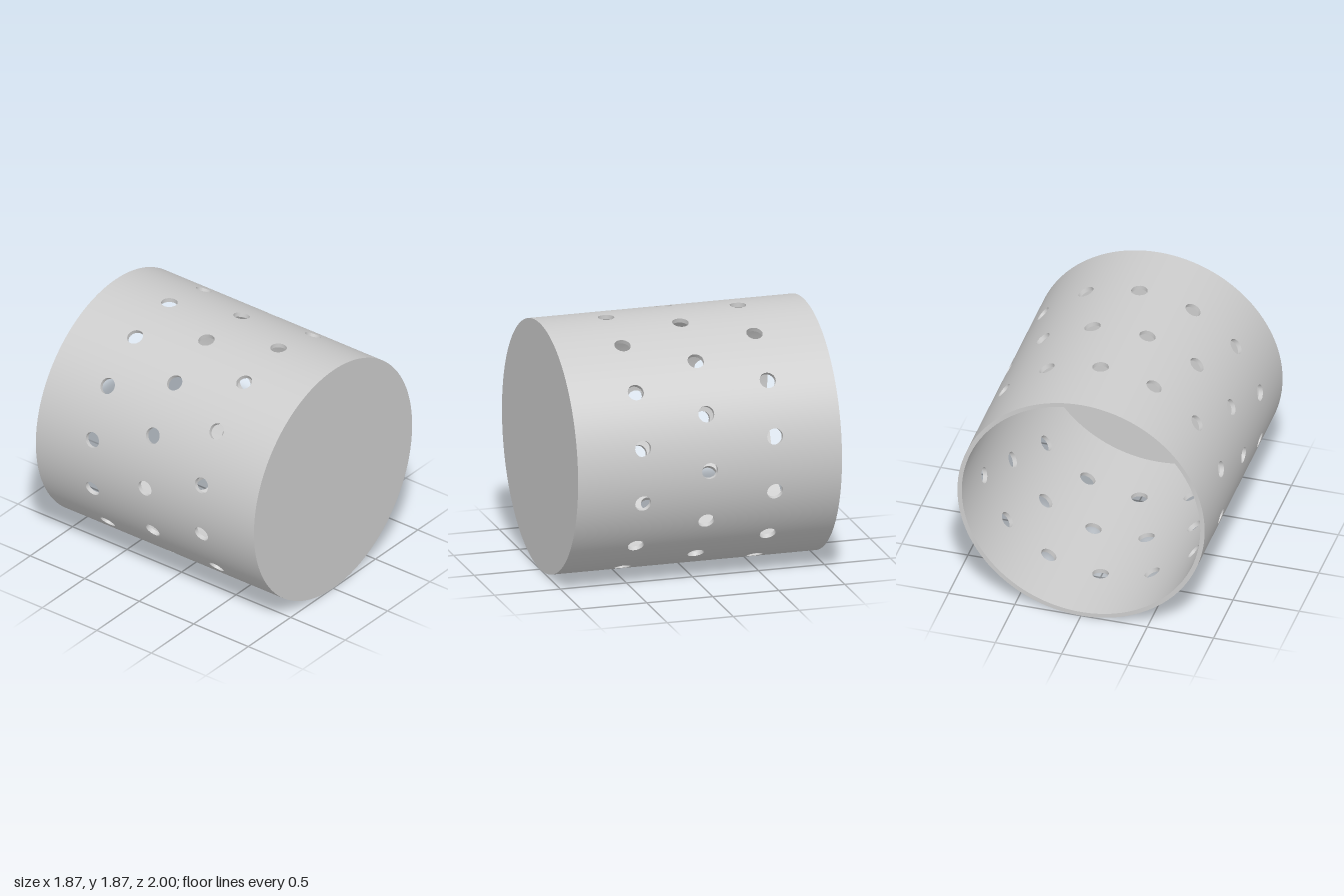
import * as THREE from 'three';
import { mergeGeometries } from 'three/addons/utils/BufferGeometryUtils.js';

const OUTER = 0.933, INNER = 0.9, FLOOR = 0.967, HOLE = 0.06;
const COUNT = 14;              // holes per ring
const HALF = Math.PI / COUNT;  // half the angle one hole cell spans
const EDGE = 8;                // segments along each cell edge
const SIDES = COUNT * EDGE, LOOP = EDGE * 4, RINGS = 4;

// Grid of quads round a loop; f(i, j) gives a point
function loopGrid(f, rows, flip) {
  const pos = [], index = [], w = LOOP + 1;
  for (let j = 0; j <= rows; j++) for (let i = 0; i <= LOOP; i++) pos.push(...f(i, j));
  for (let j = 0; j < rows; j++) for (let i = 0; i < LOOP; i++) {
    const p = j * w + i, q = p + 1, s = p + w, t = s + 1;
    index.push(...(flip ? [p, s, q, q, s, t] : [p, q, s, q, t, s]));
  }
  const g = new THREE.BufferGeometry();
  g.setAttribute('position', new THREE.Float32BufferAttribute(pos, 3));
  g.setIndex(index);
  g.computeVertexNormals();
  return g;
}

const onTube = (r, a, z) => [r * Math.sin(a), r * Math.cos(a), z];

// Point on the hole's edge as [angle round the tube, z]
function holeEdge(r, i) {
  const t = -Math.PI / 4 + (i / LOOP) * Math.PI * 2;
  return [Math.asin((HOLE * Math.cos(t)) / r), HOLE * Math.sin(t)];
}

// Point on the rectangular border of a cell
function cellEdge(i) {
  const side = Math.floor(i / EDGE) % 4, t = ((i % EDGE) / EDGE) * 2 - 1;
  const [u, v] = [[1, t], [-t, 1], [-1, -t], [t, -1]][side];
  return [u * HALF, v * 0.25];
}

// One curved skin of a cell, with smooth radial normals
function cellSkin(r, inside) {
  const g = loopGrid((i, j) => {
    const h = holeEdge(r, i), e = cellEdge(i), k = j / RINGS;
    return onTube(r, h[0] + (e[0] - h[0]) * k, h[1] + (e[1] - h[1]) * k);
  }, RINGS, inside);
  const p = g.attributes.position, n = g.attributes.normal, s = inside ? -1 / r : 1 / r;
  for (let i = 0; i < p.count; i++) n.setXYZ(i, p.getX(i) * s, p.getY(i) * s, 0);
  return g;
}

// Surface of revolution about z between two [radius, z] points
function turned(a, b) {
  const pts = [new THREE.Vector2(...a), new THREE.Vector2(...b)];
  return new THREE.LatheGeometry(pts, SIDES).rotateX(Math.PI / 2);
}

export function createModel() {
  const model = new THREE.Group();
  model.name = 'perforatedCup';
  const grey = new THREE.MeshStandardMaterial({ color: 0xcccccc });
  grey.name = 'light grey';

  const add = (name, ...geos) => {
    const mesh = new THREE.Mesh(mergeGeometries(geos), grey);
    mesh.name = name;
    mesh.position.y = OUTER;
    model.add(mesh);
  };

  // Three staggered rings of drilled holes
  const cell = mergeGeometries([
    cellSkin(OUTER, false),
    cellSkin(INNER, true),
    loopGrid((i, j) => {
      const r = j ? INNER : OUTER;
      return onTube(r, ...holeEdge(r, i));
    }, 1, true),
  ]);
  [['frontHoleRing', 0.5, 0], ['middleHoleRing', 0, HALF], ['backHoleRing', -0.5, 0]].forEach(([name, z, turn]) => {
    const cells = [];
    for (let k = 0; k < COUNT; k++) cells.push(cell.clone().rotateZ(turn + k * HALF * 2).translate(0, 0, z));
    add(name, ...cells);
  });

  // Plain wall at both ends
  add('frontBand', turned([OUTER, 0.75], [OUTER, 1]), turned([INNER, FLOOR], [INNER, 0.75]));
  add('backBand', turned([OUTER, -1], [OUTER, -0.75]), turned([INNER, -0.75], [INNER, -1]));

  // Closed front and open back rim
  add('frontCap', turned([OUTER, 1], [0, 1]), turned([0, FLOOR], [INNER, FLOOR]));
  add('backRim', turned([INNER, -1], [OUTER, -1]));

  return model;
}
